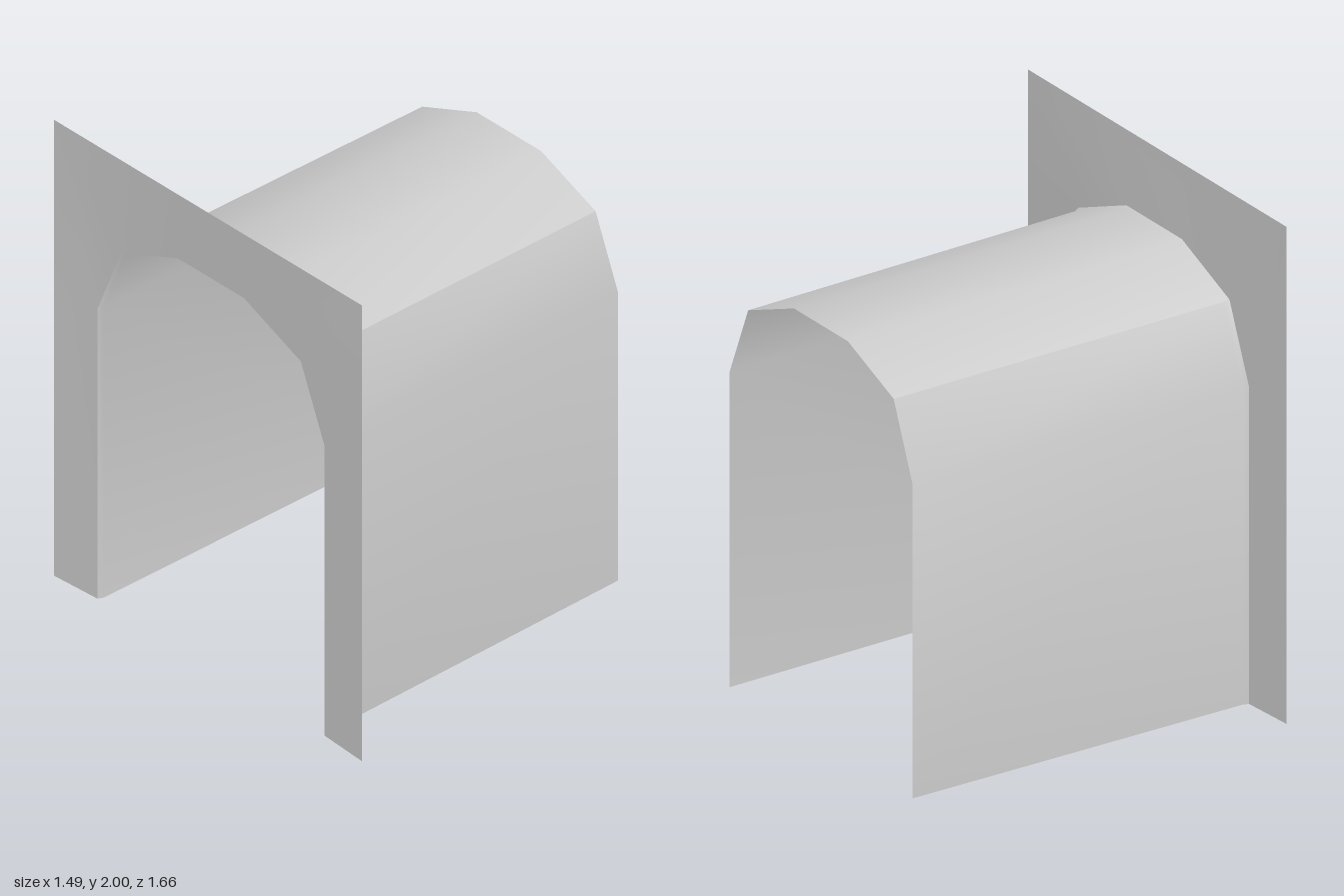
import * as THREE from 'three';
import { toCreasedNormals } from 'three/addons/utils/BufferGeometryUtils.js';

const material = new THREE.MeshStandardMaterial({ color: 0xcccccc, side: THREE.DoubleSide });

// Half outlines as [z, y], mirrored over the top to the other side
const mirror = (half) => [...half, ...half.map(([z, y]) => [-z, y]).reverse()];
const arch = (x, d) => mirror([
  [0.595 + d, 0],
  [0.595 + d, 1.27 + d * 0.2],
  [0.473 + d * 0.7, 1.568 + d * 0.7],
  [0.175 + d * 0.2, 1.69 + d],
]).map(([z, y]) => [x, y, z]);

// Joins successive open outlines with a skin
function loft(name, rings) {
  const positions = [];
  for (let i = 0; i < rings.length - 1; i++) {
    for (let j = 0; j < rings[i].length - 1; j++) {
      const a = rings[i][j], b = rings[i][j + 1];
      const c = rings[i + 1][j], d = rings[i + 1][j + 1];
      positions.push(...a, ...b, ...c, ...b, ...d, ...c);
    }
  }
  const geometry = new THREE.BufferGeometry();
  geometry.setAttribute('position', new THREE.Float32BufferAttribute(positions, 3));
  const mesh = new THREE.Mesh(toCreasedNormals(geometry, 0.6), material);
  mesh.name = name;
  return mesh;
}

export function createModel() {
  const model = new THREE.Group();
  model.name = 'archedTunnel';

  // Thin vault, slightly wider toward the wall, with a small flare at its mouth
  const mouth = arch(-0.733, 0.016);
  model.add(loft('tunnelShell', [arch(0.745, -0.008), arch(-0.712, 0.007), mouth]));

  // Portal wall around the opening, leaning slightly outward
  const wallEdge = mirror([[0.83, 0], [0.83, 1.27], [0.83, 2], [0.178, 2]])
    .map(([z, y]) => [-0.747, y, z]);
  model.add(loft('portalWall', [mouth, wallEdge]));

  return model;
}
